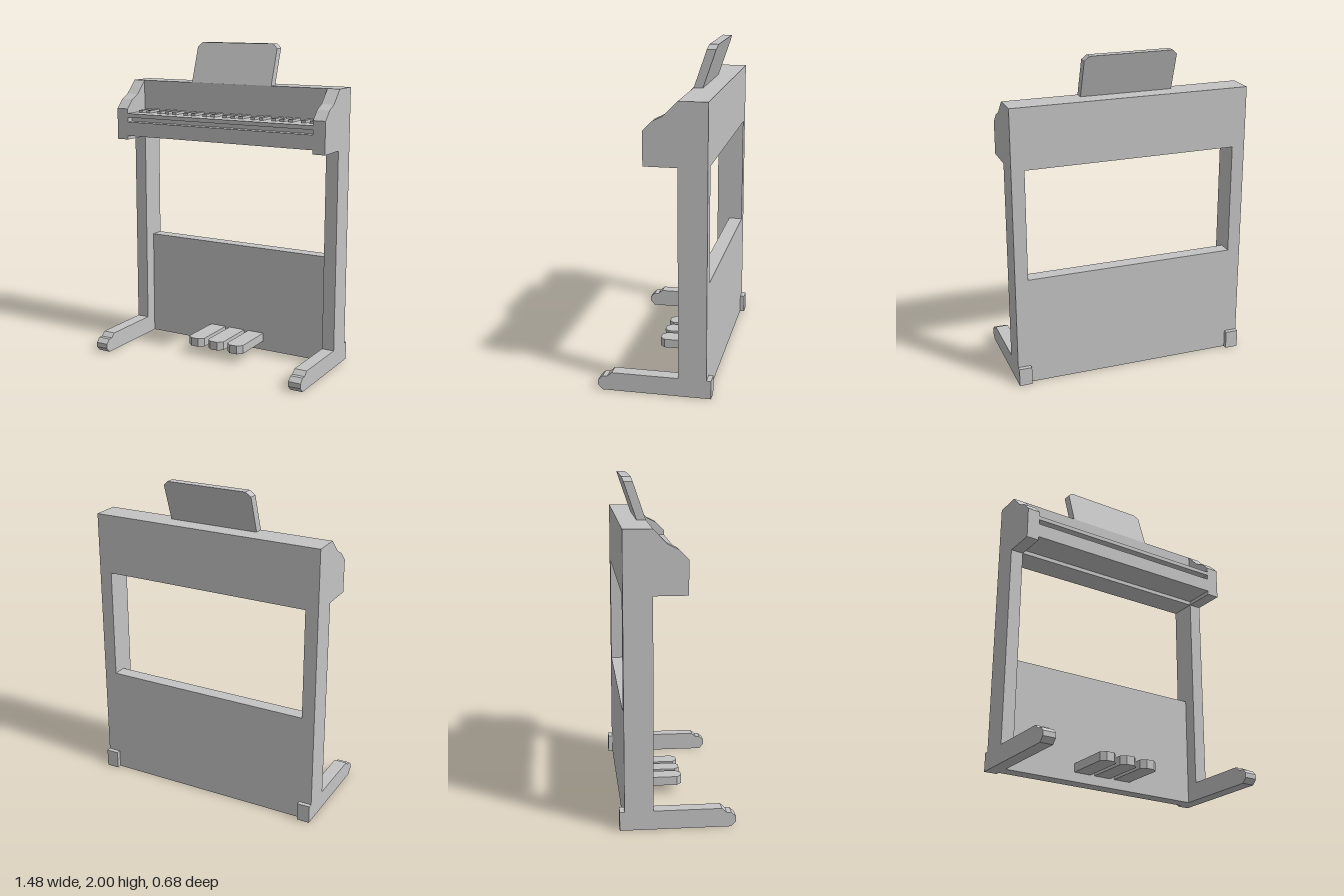
import * as THREE from 'three';

const grey = new THREE.MeshStandardMaterial({ color: 0xc4c4c4 });
grey.name = 'grey';

// Extrudes a [z, y] outline along x, from x0 to x1
function alongX(points, x0, x1) {
  const shape = new THREE.Shape(points.map(([z, y]) => new THREE.Vector2(z, y)));
  const geo = new THREE.ExtrudeGeometry(shape, { depth: x1 - x0, bevelEnabled: false });
  return geo.rotateY(-Math.PI / 2).translate(x1, 0, 0);
}

// Box given by its limits
function box(x0, x1, y0, y1, z0, z1) {
  return new THREE.BoxGeometry(x1 - x0, y1 - y0, z1 - z0)
    .translate((x0 + x1) / 2, (y0 + y1) / 2, (z0 + z1) / 2);
}

export function createModel() {
  const piano = new THREE.Group();
  piano.name = 'digitalPiano';
  const add = (name, geo, parent = piano) => {
    const mesh = new THREE.Mesh(geo, grey);
    mesh.name = name;
    parent.add(mesh);
  };

  const inner = 0.658, outer = 0.738, back = -0.312, face = -0.143;

  // Side posts with cheeks, and feet
  const side = [
    [back, 0.113], [face, 0.113], [face, 1.375], [0.057, 1.375], [0.057, 1.575],
    [0, 1.633], [-0.06, 1.662], [face, 1.747], [back, 1.747],
  ];
  const foot = [
    [-0.34, 0], [0.312, 0], [0.34, 0.03], [0.34, 0.06], [0.312, 0.087],
    [0.285, 0.087], [0.256, 0.113], [-0.34, 0.113],
  ];
  for (const [label, x0, x1] of [['left', inner, outer], ['right', -outer, -inner]]) {
    add(label + 'Side', alongX(side, x0, x1));
    add(label + 'Foot', alongX(foot, x0, x1));
  }

  // Lower back panel
  add('lowerPanel', box(-inner, inner, 0, 0.688, back, -0.225));

  // Keyboard console with the groove below the white keys
  add('console', alongX([
    [back, 1.375], [face, 1.375], [face, 1.4], [0.057, 1.4], [0.057, 1.49],
    [0.007, 1.49], [0.007, 1.52], [0.057, 1.52], [0.057, 1.545],
    [face, 1.545], [face, 1.747], [back, 1.747],
  ], -inner, inner));

  // Black keys, on a grid of half steps
  const keys = new THREE.Group();
  keys.name = 'blackKeys';
  piano.add(keys);
  for (const slot of [0, 2, 5, 7, 9, 12, 14, 17, 19, 22, 24, 26, 29, 31, 34, 36, 38, 41, 43]) {
    const x = -0.629 + slot * 0.0285;
    add('blackKey', box(x, x + 0.028, 1.54, 1.561, face, -0.032), keys);
  }

  // Music stand: plate with clipped corners, leaning back
  const plate = new THREE.Shape([
    [-0.29, 0], [0.28, 0], [0.28, 0.225], [0.25, 0.253], [-0.26, 0.253], [-0.29, 0.225],
  ].map(([x, y]) => new THREE.Vector2(x, y)));
  const stand = new THREE.ExtrudeGeometry(plate, { depth: 0.055, bevelEnabled: false });
  const lean = new THREE.Matrix4().set(1, 0, 0, 0, 0, 1, 0, 1.747, 0, -0.34, 1, -0.199, 0, 0, 0, 1);
  stand.applyMatrix4(lean);
  stand.computeVertexNormals();
  add('musicStand', stand);

  // Pedals, each with a tapered tip
  const pedal = new THREE.Shape([
    [-0.056, 0.23], [-0.056, -0.055], [-0.026, -0.083], [0.026, -0.083], [0.056, -0.055], [0.056, 0.23],
  ].map(([x, y]) => new THREE.Vector2(x, y)));
  for (const x of [-0.142, 0, 0.142]) {
    const geo = new THREE.ExtrudeGeometry(pedal, { depth: 0.055, bevelEnabled: false });
    add('pedal', geo.rotateX(-Math.PI / 2).translate(x, 0.059, 0));
  }

  return piano;
}
